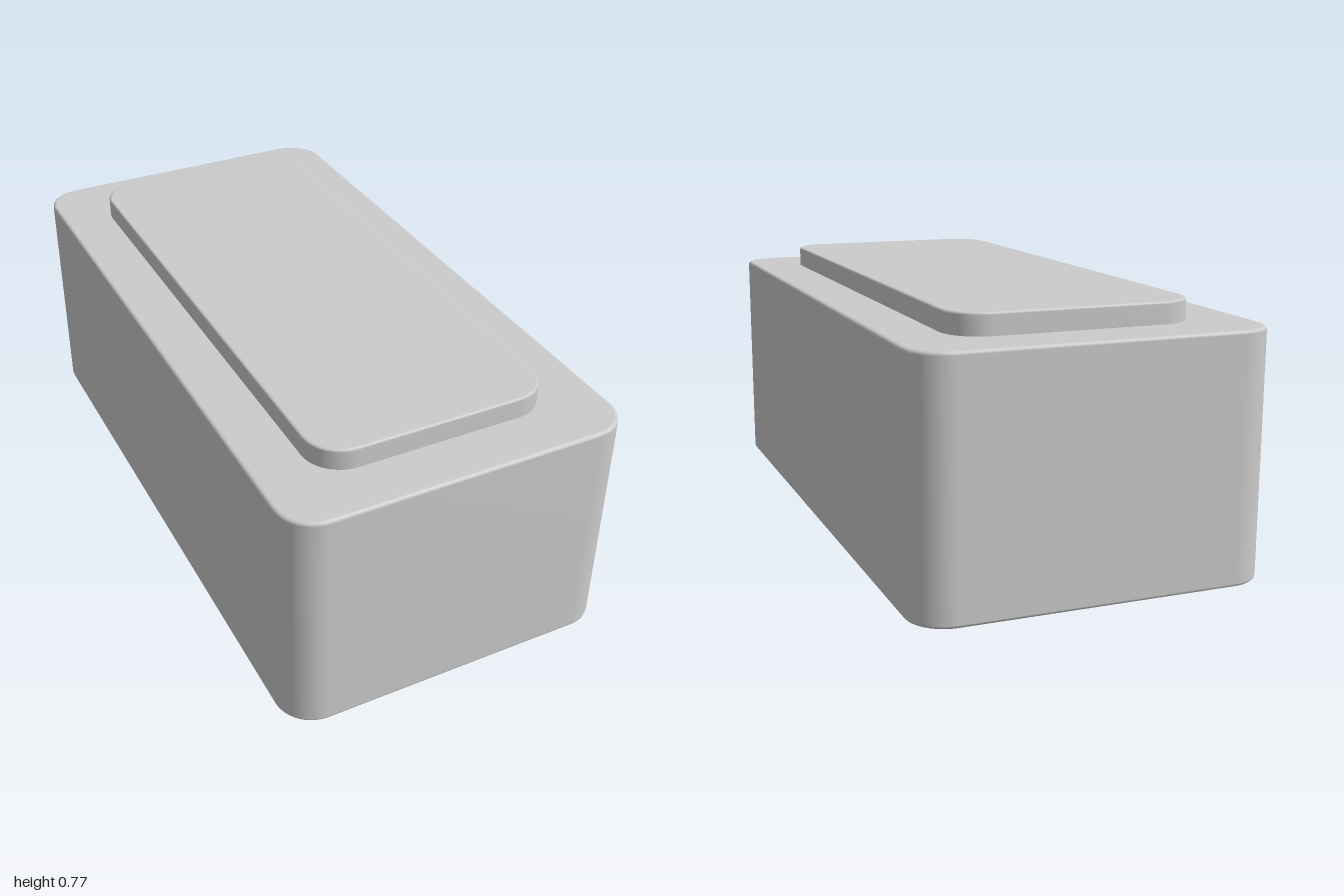
import * as THREE from 'three';
import { mergeVertices } from 'three/addons/utils/BufferGeometryUtils.js';

const material = new THREE.MeshStandardMaterial({ color: 0xcccccc });

// Upright slab with rounded corners and softly bevelled rims, spanning y0..y1.
function roundedSlab(name, halfX, halfZ, y0, y1, radius, bevel) {
  const x = halfX, z = halfZ, r = radius;
  const shape = new THREE.Shape();
  shape.absarc(x - r, z - r, r, 0, Math.PI / 2);
  shape.absarc(r - x, z - r, r, Math.PI / 2, Math.PI);
  shape.absarc(r - x, r - z, r, Math.PI, Math.PI * 1.5);
  shape.absarc(x - r, r - z, r, Math.PI * 1.5, Math.PI * 2);
  shape.closePath();

  let geometry = new THREE.ExtrudeGeometry(shape, {
    depth: y1 - y0 - 2 * bevel,
    bevelThickness: bevel,
    bevelSize: bevel,
    bevelOffset: -bevel,
    bevelSegments: 3,
    curveSegments: 10,
  });
  geometry.rotateX(-Math.PI / 2);
  geometry.translate(0, y0 + bevel, 0);

  // Weld the pieces so the shading flows smoothly over the bevels.
  geometry.deleteAttribute('normal');
  geometry.deleteAttribute('uv');
  geometry = mergeVertices(geometry, 1e-5);
  geometry.computeVertexNormals();

  const mesh = new THREE.Mesh(geometry, material);
  mesh.name = name;
  return mesh;
}

export function createModel() {
  const group = new THREE.Group();
  group.name = 'steppedBlock';

  // Main block
  group.add(roundedSlab('body', 0.51, 1, 0, 0.705, 0.11, 0.01));

  // Raised plate, sunk slightly into the block
  group.add(roundedSlab('topPlate', 0.354, 0.842, 0.68, 0.767, 0.11, 0.007));

  return group;
}
